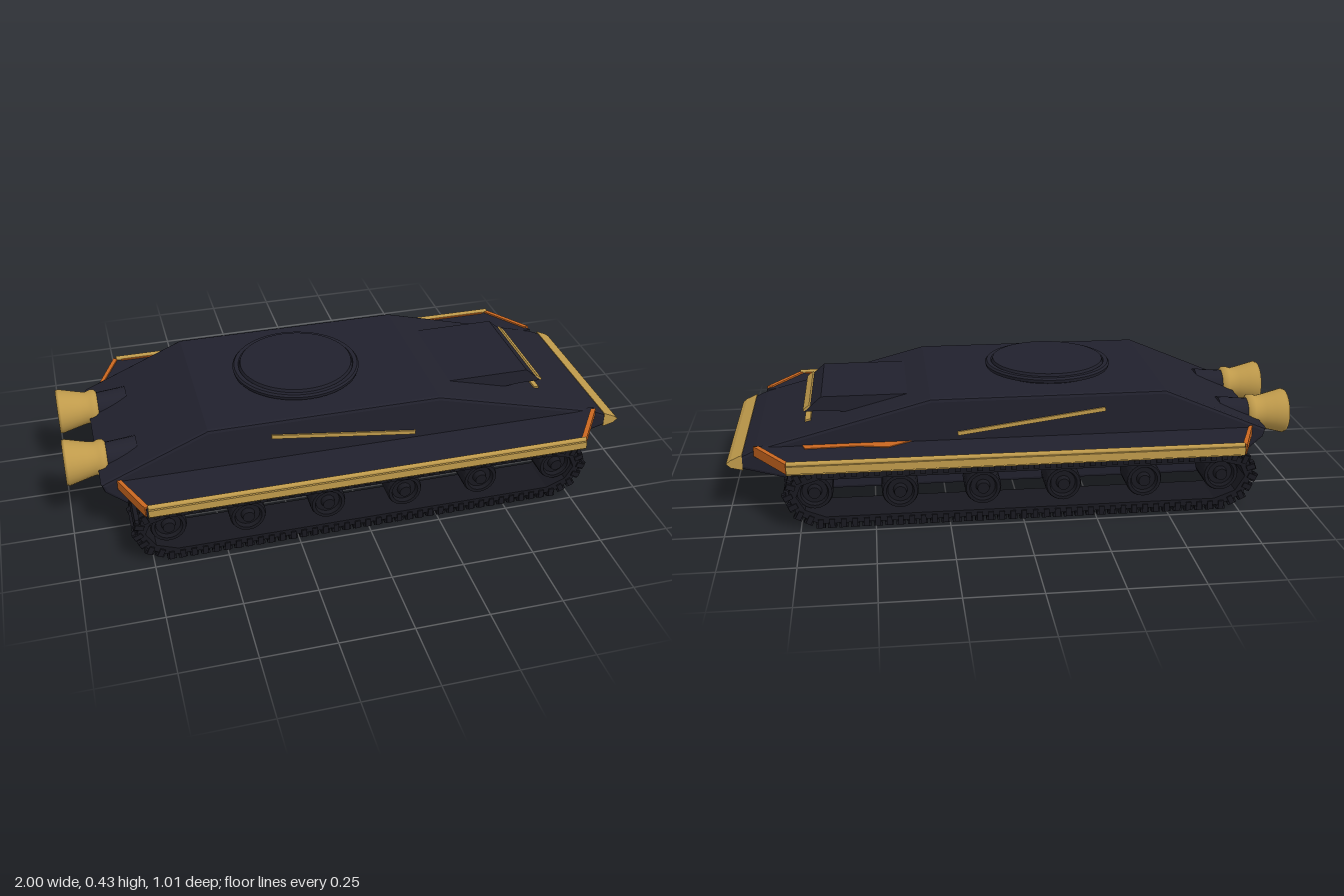
import * as THREE from 'three';
import { mergeGeometries } from 'three/addons/utils/BufferGeometryUtils.js';

const mat = (name, color) => {
  const m = new THREE.MeshStandardMaterial({ color });
  m.name = name;
  return m;
};

export function createModel() {
  const armour = mat('dark armour', 0x21212d);
  const running = mat('track black', 0x18181f);
  const gold = mat('gold trim', 0xbf9a4b);
  const orange = mat('orange trim', 0xc9661f);
  const root = new THREE.Group();
  root.name = 'trackedVehicle';

  const add = (name, geo, material, x = 0, y = 0, z = 0, parent = root) => {
    const m = new THREE.Mesh(geo, material);
    m.name = name;
    m.position.set(x, y, z);
    parent.add(m);
    return m;
  };
  const shapeOf = (pts) => new THREE.Shape(pts.map((p) => new THREE.Vector2(p[0], p[1])));
  // Side profile (x, y) swept across z, centred on z = 0
  const sweep = (pts, width, bevel = 0) => new THREE.ExtrudeGeometry(shapeOf(pts), {
    depth: width - 2 * bevel, bevelEnabled: bevel > 0, bevelThickness: bevel,
    bevelSize: bevel, bevelOffset: -bevel, bevelSegments: 2,
  }).translate(0, 0, -width / 2 + bevel);
  // Plan outline (x, z) extruded downwards
  const plan = (pts, depth) => new THREE.ExtrudeGeometry(shapeOf(pts), { depth, bevelEnabled: false })
    .rotateX(Math.PI / 2);
  // Thin bar between two points in the side view
  const bar = (name, a, b, thick, z, width, material) => {
    const m = add(name, new THREE.BoxGeometry(Math.hypot(b[0] - a[0], b[1] - a[1]), thick, width), material,
      (a[0] + b[0]) / 2, (a[1] + b[1]) / 2, z);
    m.rotation.z = Math.atan2(b[1] - a[1], b[0] - a[0]);
    return m;
  };

  // Hull: sloped upper plates and boat-shaped belly
  add('hull', sweep([[-0.72, 0.075], [0.64, 0.075], [0.8, 0.12], [0.96, 0.165], [0.96, 0.205], [0.9, 0.232],
    [0.3, 0.39], [-0.52, 0.39], [-0.89, 0.232], [-0.88, 0.2], [-0.8, 0.13]], 0.634, 0.012), armour);
  add('noseEdge', sweep([[0.945, 0.16], [0.985, 0.17], [1, 0.185], [0.985, 0.197], [0.945, 0.215]], 0.636), gold);

  // Overhanging hood at the front with a gold vision slit
  add('hood', sweep([[0.3, 0.37], [0.675, 0.37], [0.735, 0.318], [0.66, 0.318], [0.56, 0.31], [0.36, 0.36]], 0.38), armour);
  bar('visionSlit', [0.715, 0.339], [0.737, 0.32], 0.008, 0, 0.38, gold);
  bar('lowerSlit', [0.715, 0.283], [0.735, 0.278], 0.008, 0, 0.36, gold);

  // Turret ring
  const ring = [[0, 0.385], [0.2, 0.385], [0.2, 0.397], [0.225, 0.4], [0.228, 0.412], [0.222, 0.419],
    [0.207, 0.419], [0.205, 0.412], [0.2, 0.427], [0, 0.427]];
  add('turretRing', new THREE.LatheGeometry(ring.map((p) => new THREE.Vector2(p[0], p[1])), 48), armour, -0.145)
    .geometry = new THREE.LatheGeometry(ring.map((p) => new THREE.Vector2(p[0], p[1])), 48).toNonIndexed();
  root.children.at(-1).geometry.computeVertexNormals();

  // Exhaust nozzles: hollow flared bells pointing back
  const bell = [[0, -0.03], [0.04, -0.03], [0.046, 0.02], [0.054, 0.07], [0.066, 0.115], [0.078, 0.12], [0.081, 0.11],
    [0.072, 0.075], [0.063, 0.04], [0.058, 0.015], [0.064, 0], [0.064, -0.015], [0.054, -0.025]]
    .map((p) => new THREE.Vector2(p[0], p[1]));
  const bellGold = gold.clone();
  bellGold.name = 'gold nozzle';
  bellGold.side = THREE.DoubleSide;
  for (const z of [-0.165, 0.165]) {
    add('exhaustNozzle', new THREE.LatheGeometry(bell, 28).rotateZ(Math.PI / 2), bellGold, -0.88, 0.243, z);
    add('exhaustMount', new THREE.CylinderGeometry(0.05, 0.06, 0.12, 20).rotateZ(Math.PI / 2), armour, -0.81, 0.243, z);
  }

  // Track loop outline
  const loop = new THREE.CurvePath();
  const corners = [[-0.69, 0.018], [0.69, 0.018], [0.76, 0.055], [0.788, 0.12], [0.77, 0.175], [0.71, 0.2],
    [-0.72, 0.2], [-0.78, 0.178], [-0.798, 0.125], [-0.765, 0.055], [-0.69, 0.018]];
  for (let i = 1; i < corners.length; i++) {
    loop.add(new THREE.LineCurve(new THREE.Vector2(...corners[i - 1]), new THREE.Vector2(...corners[i])));
  }
  const trackShape = shapeOf(corners.slice(0, -1));
  // Inner outline: the same loop shrunk towards its middle
  trackShape.holes.push(new THREE.Path(corners.slice(0, -1).map(([x, y]) =>
    new THREE.Vector2(x * 0.965, 0.11 + (y - 0.11) * 0.74))));
  const trackGeo = new THREE.ExtrudeGeometry(trackShape, { depth: 0.155, bevelEnabled: false }).translate(0, 0, -0.0775);

  // Raised cleats around the loop, with guide blocks at both rims
  const cleats = [];
  const count = 88;
  for (let i = 0; i < count; i++) {
    const p = loop.getPointAt(i / count);
    const t = loop.getTangentAt(i / count);
    const angle = Math.atan2(t.y, t.x);
    const place = (g) => cleats.push(g.rotateZ(angle).translate(p.x, p.y, 0));
    place(new THREE.BoxGeometry(0.018, 0.03, 0.165));
    for (const z of [-0.068, 0.068]) {
      place(new THREE.BoxGeometry(0.03, 0.014, 0.02).translate(0, -0.01, z));
    }
  }
  const cleatGeo = mergeGeometries(cleats);

  // Dished road wheel
  const wheelProfile = [[0, -0.06], [0.052, -0.06], [0.062, -0.05], [0.062, 0.05], [0.058, 0.06], [0.047, 0.06],
    [0.042, 0.045], [0.024, 0.045], [0.02, 0.066], [0, 0.066]].map((p) => new THREE.Vector2(p[0], p[1]));
  const wheelGeo = new THREE.LatheGeometry(wheelProfile, 24).rotateX(Math.PI / 2).toNonIndexed();
  wheelGeo.computeVertexNormals();

  for (const s of [1, -1]) {
    const side = s > 0 ? 'left' : 'right';
    const unit = new THREE.Group();
    unit.name = side + 'TrackUnit';
    unit.position.z = s * 0.393;
    root.add(unit);
    add('trackBelt', trackGeo, running, 0, 0, 0, unit);
    add('trackCleats', cleatGeo, running, 0, 0, 0, unit);
    [-0.69, -0.42, -0.14, 0.135, 0.415, 0.7].forEach((x, i) => {
      const end = i === 0 || i === 5;
      const w = add(end ? 'endWheel' : 'roadWheel', wheelGeo, running, x, end ? 0.125 : 0.115, 0, unit);
      if (s < 0) w.rotation.y = Math.PI;
      // Suspension arm from the hull to each wheel
      const arm = add('suspensionArm', new THREE.BoxGeometry(0.14, 0.025, 0.03), running,
        x + (x < 0 ? 0.05 : -0.05), 0.14, -s * 0.055, unit);
      arm.rotation.z = x < 0 ? 0.3 : -0.3;
    });

    // Fender with tapered ends
    add(side + 'Fender', plan([[-0.84, 0.3 * s], [-0.76, 0.49 * s], [0.785, 0.49 * s], [0.905, 0.3 * s]], 0.03),
      armour, 0, 0.24, 0);
    add(side + 'FenderRail', new THREE.BoxGeometry(1.54, 0.026, 0.02), gold, 0.015, 0.228, s * 0.495);
    add(side + 'FenderBead', new THREE.CylinderGeometry(0.009, 0.009, 1.54, 10).rotateZ(Math.PI / 2),
      gold, 0.015, 0.244, s * 0.49);
    add(side + 'FenderLowerBead', new THREE.CylinderGeometry(0.006, 0.006, 1.54, 8).rotateZ(Math.PI / 2),
      gold, 0.015, 0.213, s * 0.495);

    // Orange lips on the fender corners and inner edge
    add(side + 'FrontLip', plan([[0.775, 0.48 * s], [0.787, 0.492 * s], [0.905, 0.318 * s], [0.885, 0.318 * s]], 0.036),
      orange, 0, 0.246, 0);
    add(side + 'RearLip', plan([[-0.752, 0.48 * s], [-0.764, 0.492 * s], [-0.836, 0.318 * s], [-0.822, 0.318 * s]], 0.036),
      orange, 0, 0.246, 0);
    add(side + 'FenderInlay', new THREE.BoxGeometry(1.5, 0.004, 0.006), orange, 0.015, 0.242, s * 0.479);

    // Slanted gold stripe on the hull side
    bar(side + 'SideStripe', [-0.305, 0.332], [0.21, 0.263], 0.014, s * 0.319, 0.009, gold);
  }
  // Orange patch beside the hull on the right fender
  add('fenderPatch', plan([[0.37, -0.318], [0.45, -0.365], [0.55, -0.345], [0.73, -0.35], [0.74, -0.318]], 0.004),
    orange, 0, 0.243, 0);

  return root;
}
